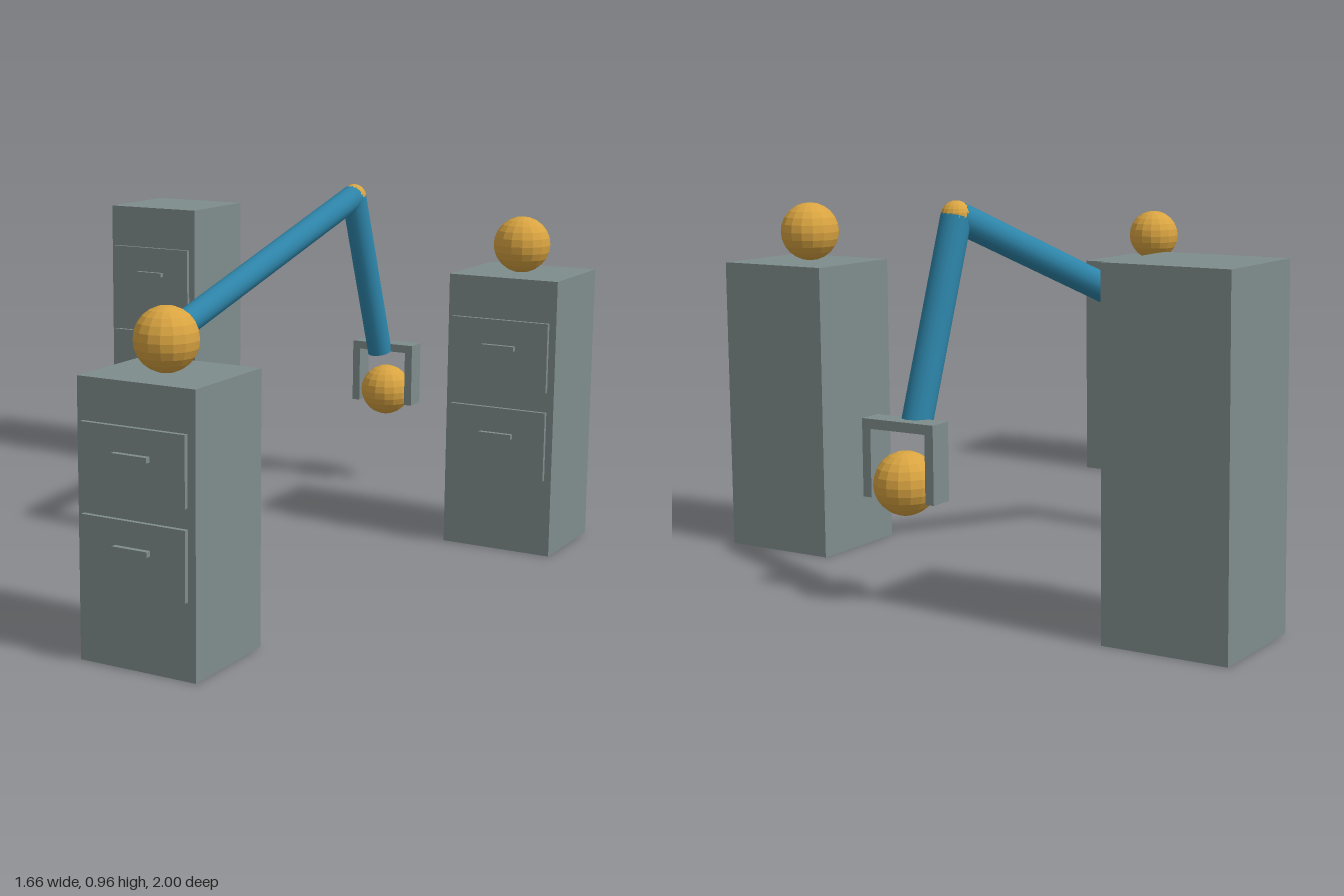
import * as THREE from 'three';

export function createModel() {
  const root = new THREE.Group();
  root.name = 'robotArmWithCabinets';

  const material = (name, color, flatShading = false) => {
    const m = new THREE.MeshStandardMaterial({ color, flatShading });
    m.name = name;
    return m;
  };
  const grey = material('grey', 0x7f8c8d);
  const blue = material('blue', 0x2e86ab);
  const gold = material('gold', 0xd9a441, true);

  const add = (parent, name, geometry, mat, x, y, z) => {
    const mesh = new THREE.Mesh(geometry, mat);
    mesh.name = name;
    mesh.position.set(x, y, z);
    parent.add(mesh);
    return mesh;
  };
  const box = (parent, name, w, h, d, x, y, z) =>
    add(parent, name, new THREE.BoxGeometry(w, h, d), grey, x, y, z);
  const ball = (parent, name, r, x, y, z) =>
    add(parent, name, new THREE.SphereGeometry(r, 16, 12), gold, x, y, z);

  // Cylinder running between two points
  const rod = (parent, name, a, b, r, mat) => {
    const dir = b.clone().sub(a);
    const mid = a.clone().add(b).multiplyScalar(0.5);
    const mesh = add(parent, name, new THREE.CylinderGeometry(r, r, dir.length(), 16), mat, mid.x, mid.y, mid.z);
    mesh.quaternion.setFromUnitVectors(new THREE.Vector3(0, 1, 0), dir.normalize());
  };

  const BALL = 0.078;
  const WIDTH = 0.316;
  const DEPTH = 0.29;

  // Filing cabinets: two drawers each, some with a ball on top
  const cabinet = (name, x, z, h, hasBall) => {
    const g = new THREE.Group();
    g.name = name;
    g.position.set(x, 0, z);
    root.add(g);
    box(g, 'cabinetBody', WIDTH, h, DEPTH, 0, h / 2, 0);
    const front = DEPTH / 2;
    for (const level of [0.405, 0.726]) {
      box(g, 'drawerFront', 0.28, h * 0.249, 0.012, 0, h * level, front + 0.01);
      box(g, 'drawerHandle', 0.095, 0.013, 0.014, 0, h * (level + 0.026), front + 0.023);
    }
    if (hasBall) ball(g, 'cabinetBall', BALL, 0, h + BALL, 0.015);
  };
  cabinet('tallCabinet', -0.672, -0.833, 0.858, false);
  cabinet('mediumCabinet', 0.672, -0.523, 0.768, true);
  cabinet('shortCabinet', 0.36, 0.825, 0.676, true);

  // Jointed arm on its stand
  const arm = new THREE.Group();
  arm.name = 'robotArm';
  root.add(arm);
  const R = 0.038;
  const foot = new THREE.Vector3(-0.157, 0.02, 0.012);
  const shoulder = new THREE.Vector3(-0.157, 0.597, 0.012);
  const elbow = new THREE.Vector3(0.02, 0.925, -0.755);
  const wrist = new THREE.Vector3(0.052, 0.425, -0.888);
  box(arm, 'basePlate', 0.246, 0.025, 0.246, foot.x, 0.0125, foot.z);
  rod(arm, 'post', foot, shoulder, R, grey);
  ball(arm, 'shoulderJoint', R, ...shoulder.toArray());
  rod(arm, 'upperArm', shoulder, elbow, R, blue);
  ball(arm, 'elbowJoint', R, ...elbow.toArray());
  rod(arm, 'forearm', elbow, wrist, R, blue);

  // Gripper holding a ball
  const gripper = new THREE.Group();
  gripper.name = 'gripper';
  gripper.position.set(0.059, 0, -0.922);
  arm.add(gripper);
  box(gripper, 'palm', 0.206, 0.024, 0.062, 0, 0.439, 0);
  for (const side of [-1, 1]) {
    box(gripper, 'finger', 0.024, 0.167, 0.062, side * 0.091, 0.3435, 0);
  }
  ball(gripper, 'heldBall', BALL, 0, 0.298, 0);

  return root;
}
